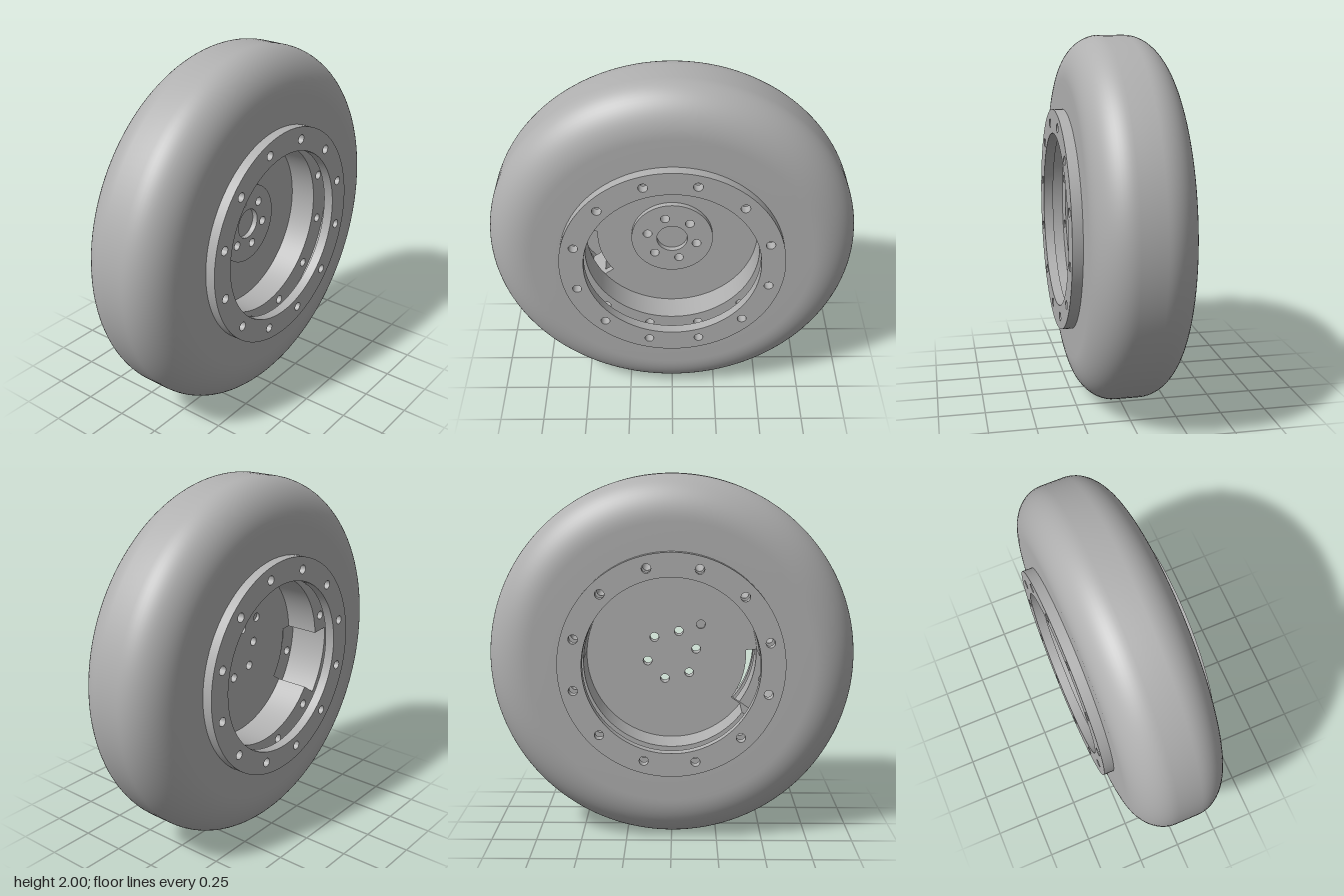
import * as THREE from 'three';
import { toCreasedNormals } from 'three/addons/utils/BufferGeometryUtils.js';

const RAD = Math.PI / 180;
const NOTCH = [176, 216]; // angular span of the slot, degrees

const polar = (r, deg) => new THREE.Vector2(r * Math.cos(deg * RAD), r * Math.sin(deg * RAD));

// Circle of points, optionally off centre
const circle = (r, n = 120, c = new THREE.Vector2()) =>
  Array.from({ length: n }, (_, i) => polar(r, (i * 360) / n).add(c));

// Circle that steps to another radius across the slot span
function notchedCircle(r, rNotch) {
  const pts = [];
  for (let a = NOTCH[0]; a <= NOTCH[1]; a += 2) pts.push(polar(rNotch, a));
  for (let a = NOTCH[1]; a <= NOTCH[0] + 360; a += 2) pts.push(polar(r, a));
  return pts;
}

// Evenly spaced bolt holes
const boltHoles = (n, r, start, holeR) =>
  Array.from({ length: n }, (_, i) => circle(holeR, 18, polar(r, start + (i * 360) / n)));

export function createModel() {
  const model = new THREE.Group();
  const wheel = new THREE.Group();
  wheel.name = 'wheel';
  wheel.position.y = 1;
  model.add(wheel);

  const grey = new THREE.MeshStandardMaterial({ color: 0xb0b0b0 });
  grey.name = 'grey';

  function add(name, geometry) {
    const mesh = new THREE.Mesh(toCreasedNormals(geometry, 0.5), grey);
    mesh.name = name;
    wheel.add(mesh);
    return mesh;
  }

  // Flat plate with holes between two z positions
  function plate(name, outline, holes, z0, z1) {
    const shape = new THREE.Shape(outline);
    shape.holes = holes.map((h) => new THREE.Path(h));
    const geo = new THREE.ExtrudeGeometry(shape, { depth: z1 - z0, bevelEnabled: false });
    geo.translate(0, 0, z0);
    return add(name, geo);
  }

  // Tyre: flat sidewalls with elliptical shoulders
  const half = 0.265, bore = 0.6, sw = 0.2, sh = 0.24;
  const profile = [new THREE.Vector2(bore, -half)];
  for (let i = 0; i <= 16; i++) {
    const t = (i / 16) * Math.PI / 2;
    profile.push(new THREE.Vector2(1 - sh + sh * Math.sin(t), -half + sw - sw * Math.cos(t)));
  }
  for (let i = 16; i >= 0; i--) {
    const p = profile[i + 1];
    profile.push(new THREE.Vector2(p.x, -p.y));
  }
  profile.push(new THREE.Vector2(bore, half), new THREE.Vector2(bore, -half));
  const tyre = new THREE.LatheGeometry(profile, 128);
  tyre.rotateX(Math.PI / 2);
  add('tyre', tyre);

  // Outer clamp rings on both sides
  const rimHoles = boltHoles(12, 0.537, 16, 0.025);
  const ringHoles = [circle(0.475), ...rimHoles];
  plate('frontClampRing', circle(0.605), ringHoles, half, 0.32);
  plate('backClampRing', circle(0.605), ringHoles, -0.32, -half);

  // Barrel: the rear part is cut away at the slot, swallowing one bolt hole
  plate('frontBarrel', circle(bore), ringHoles, 0.04, 0.19);
  const rearHoles = rimHoles.filter((_, i) => i !== 6);
  plate('rearBarrel', circle(bore), [notchedCircle(0.475, 0.575), ...rearHoles], -0.19, 0.04);

  // Plug closing one rim hole
  const plug = new THREE.CylinderGeometry(0.025, 0.025, 0.06, 18);
  plug.rotateX(Math.PI / 2);
  const p = polar(0.537, 16);
  add('holePlug', plug).position.set(p.x, p.y, 0.1);

  // Centre disc in two layers, the rear one with a blind hole
  const hubHoles = boltHoles(6, 0.14, 46, 0.025);
  const disc = notchedCircle(0.475, 0.415);
  plate('discFront', disc, hubHoles, 0.02, 0.04);
  plate('discRear', disc, [...hubHoles, circle(0.025, 18, polar(0.237, 133))], 0, 0.02);

  // Raised hub with a central recess
  plate('hub', circle(0.225, 72), [circle(0.085, 48), ...hubHoles], 0.04, 0.07);

  return model;
}
